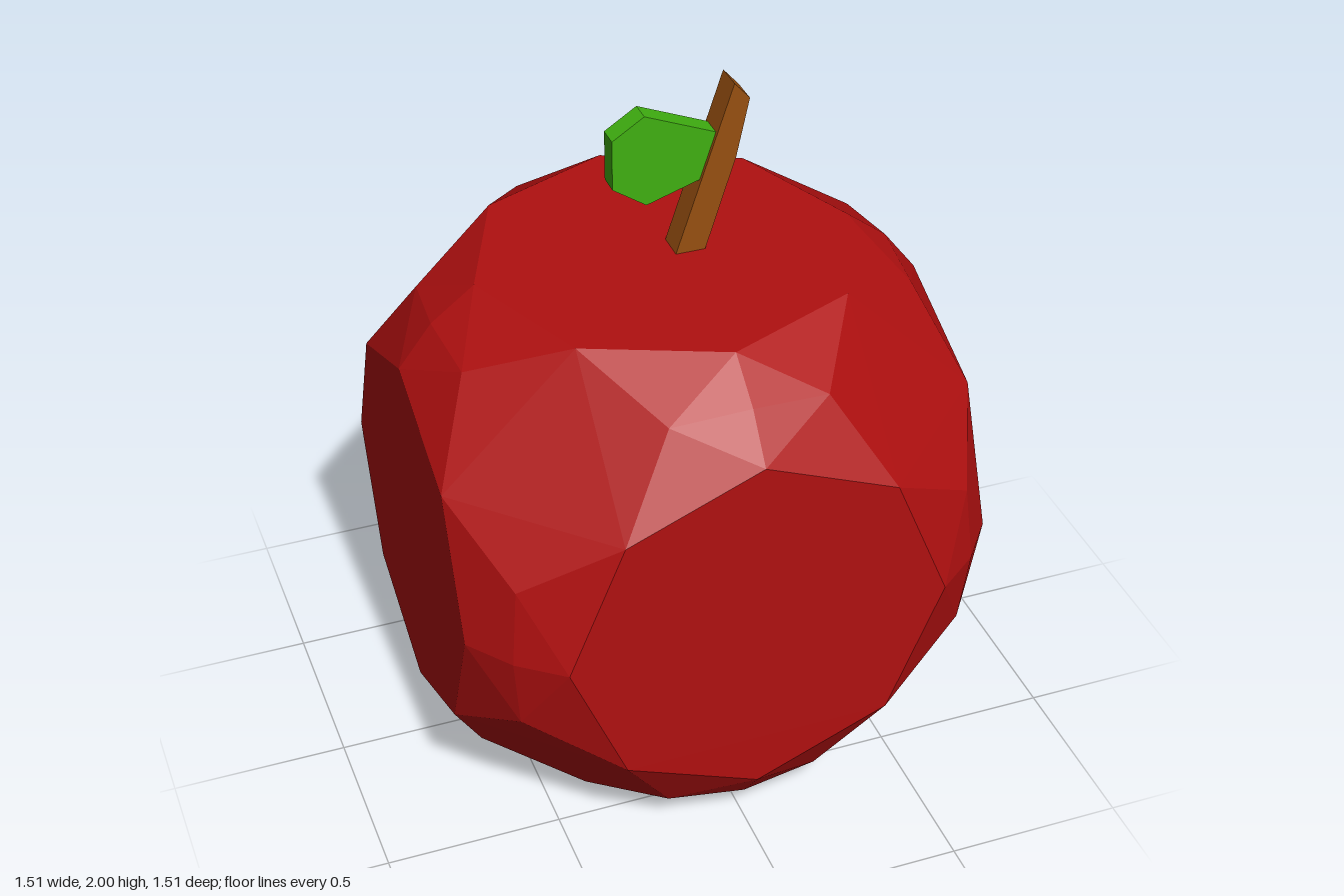
import * as THREE from 'three';
import { ConvexGeometry } from 'three/addons/geometries/ConvexGeometry.js';

const R = 0.926, FLAT = 0.755, CENTRE_Y = 0.756;

function material(name, color) {
  const m = new THREE.MeshStandardMaterial({ color });
  m.name = name;
  return m;
}

// All sign and axis variations of one corner point, without repeats
function symmetric(a, b, c) {
  const signed = (n) => (n === 0 ? [0] : [n, -n]);
  const points = new Map();
  const orders = [[a, b, c], [a, c, b], [b, a, c], [b, c, a], [c, a, b], [c, b, a]];
  for (const [p, q, r] of orders)
    for (const x of signed(p)) for (const y of signed(q)) for (const z of signed(r))
      points.set([x, y, z].join(), new THREE.Vector3(x, y, z));
  return [...points.values()];
}

// Flat outline in x and y, given thickness and centred on z = 0
function plate(name, outline, depth, mat) {
  const shape = new THREE.Shape(outline.map(([x, y]) => new THREE.Vector2(x, y)));
  const geo = new THREE.ExtrudeGeometry(shape, { depth, bevelEnabled: false });
  geo.translate(0, 0, -depth / 2);
  const mesh = new THREE.Mesh(geo, mat);
  mesh.name = name;
  return mesh;
}

export function createModel() {
  const model = new THREE.Group();
  model.name = 'apple';

  // Faceted fruit: six octagons, eight hexagons and the bands between them
  const rim = Math.sqrt(R * R - FLAT * FLAT);
  const diagonal = rim * Math.SQRT1_2;
  const corners = [
    ...symmetric(0, rim, FLAT),
    ...symmetric(diagonal, diagonal, FLAT),
    ...symmetric(0, 0.66, 0.66),
    ...symmetric(0.22, 0.64, 0.64),
  ];
  const red = material('apple red', 0xb01010);
  red.flatShading = true;
  const fruit = new THREE.Mesh(new ConvexGeometry(corners), red);
  fruit.name = 'fruit';
  fruit.position.y = CENTRE_Y;
  model.add(fruit);

  // Leaning stem, slightly bent on its right side
  model.add(plate('stem', [
    [0.013, 1.49], [0.098, 1.49], [0.19, 1.78], [0.226, 1.95], [0.182, 2],
  ], 0.083, material('stem brown', 0x974f10)));

  // Leaf joined to the side of the stem
  model.add(plate('leaf', [
    [-0.155, 1.74], [-0.06, 1.675], [0.095, 1.725], [0.135, 1.86], [-0.065, 1.943], [-0.155, 1.885],
  ], 0.062, material('leaf green', 0x40b011)));

  return model;
}
